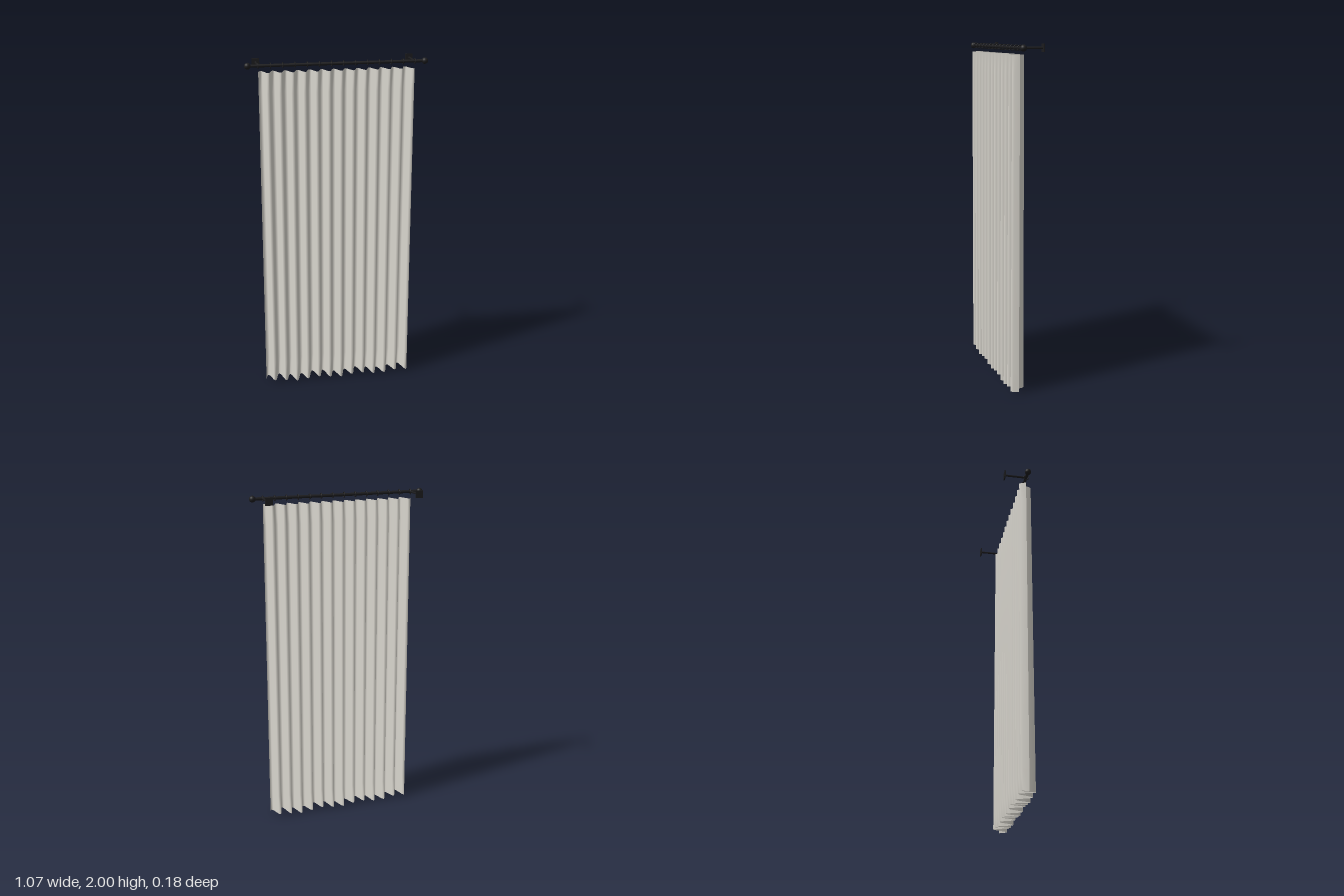
import * as THREE from 'three';

const ROD_Y = 1.981, ROD_Z = 0.044;
const HALF = 0.455, FOLDS = 13, PITCH = (2 * HALF) / FOLDS;

// Pleated cloth: a sine wave in plan, slightly deeper at the hem, with a gently waved bottom edge
function clothGeometry() {
  const top = 1.945;
  const geo = new THREE.PlaneGeometry(2 * HALF, 1, FOLDS * 8, 16);
  const p = geo.attributes.position;
  for (let i = 0; i < p.count; i++) {
    const x = p.getX(i);
    const drop = 0.5 - p.getY(i);
    const hem = 0.009 - 0.008 * Math.cos((x * Math.PI * 2) / 0.26);
    const depth = 0.039 + 0.006 * drop;
    const z = ROD_Z - depth * Math.sin(((x + HALF) / PITCH) * Math.PI * 2);
    p.setXYZ(i, x, top + (hem - top) * drop, z);
  }
  geo.computeVertexNormals();
  return geo;
}

export function createModel() {
  const model = new THREE.Group();
  const cloth = new THREE.MeshStandardMaterial({ color: 0xd8d5cd, side: THREE.DoubleSide });
  cloth.name = 'pale grey cloth';
  const metal = new THREE.MeshStandardMaterial({ color: 0x1c1c1e });
  metal.name = 'black metal';

  const add = (name, geo, mat, x = 0, y = 0, z = 0) => {
    const mesh = new THREE.Mesh(geo, mat);
    mesh.name = name;
    mesh.position.set(x, y, z);
    model.add(mesh);
    return mesh;
  };

  add('curtain', clothGeometry(), cloth);

  // Rod
  add('rod', new THREE.CylinderGeometry(0.009, 0.009, 1.03, 16).rotateZ(Math.PI / 2), metal, 0, ROD_Y, ROD_Z);

  // End balls and wall brackets, mirrored
  for (const side of [-1, 1]) {
    add('finial', new THREE.SphereGeometry(0.019, 20, 14), metal, side * 0.515, ROD_Y, ROD_Z);
    const arm = new THREE.CylinderGeometry(0.006, 0.006, 0.13, 12).rotateX(Math.PI / 2);
    add('bracketArm', arm, metal, side * HALF, ROD_Y, ROD_Z - 0.065);
    add('wallPlate', new THREE.BoxGeometry(0.044, 0.044, 0.007), metal, side * HALF, ROD_Y, -0.0885);
  }

  // One ring at each fold
  const ring = new THREE.TorusGeometry(0.0145, 0.0028, 8, 20).rotateY(Math.PI / 2);
  for (let i = 0; i <= FOLDS; i++) add('ring', ring, metal, -HALF + i * PITCH, ROD_Y, ROD_Z);

  return model;
}
